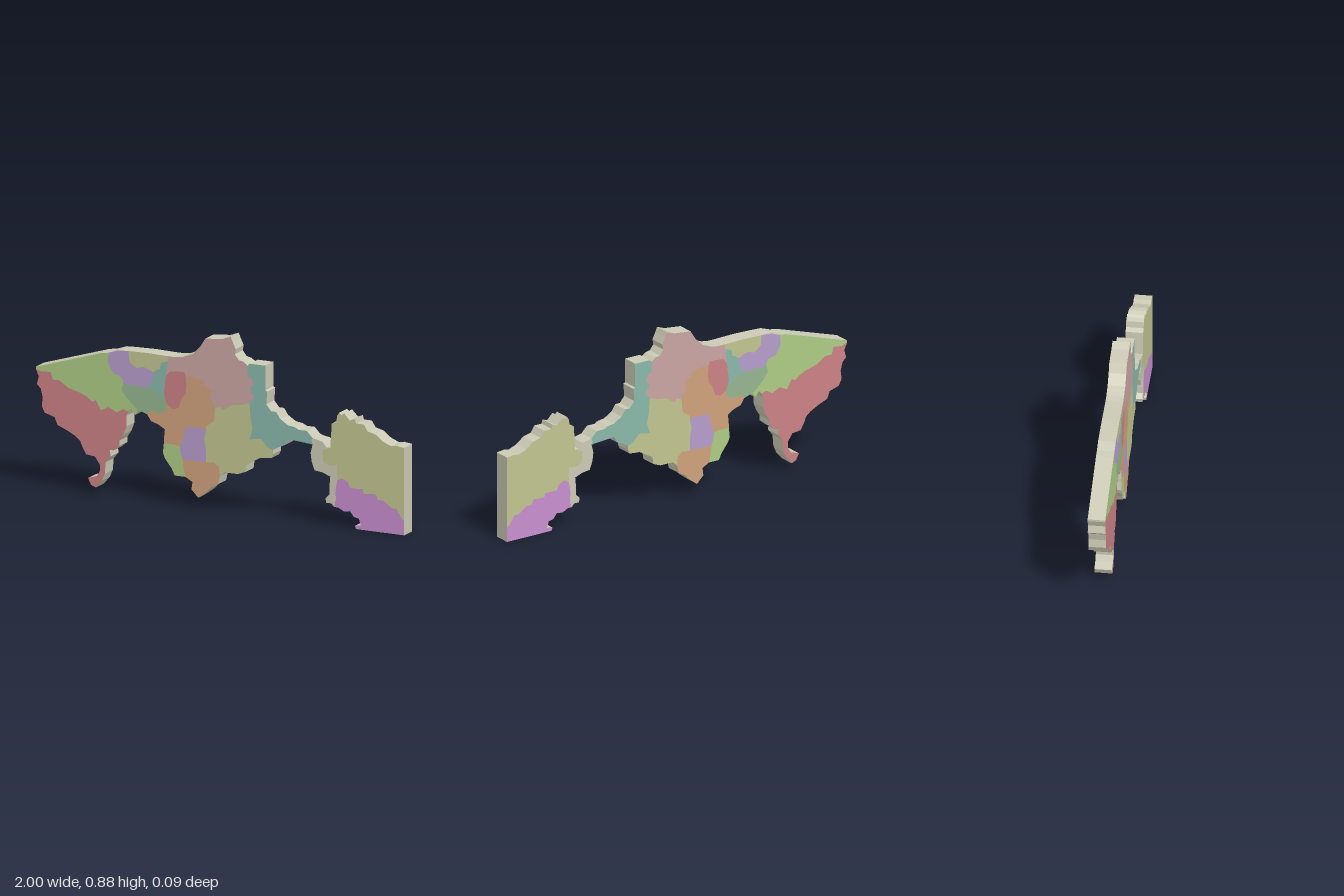
import * as THREE from 'three';

const UNIT = 187;      // drafting steps per model unit
const HALF = 0.043;    // half the slab thickness

const paint = (name, color) => {
  const m = new THREE.MeshStandardMaterial({ color });
  m.name = name;
  return m;
};
const red = paint('red', 0xca8184), lime = paint('lime', 0xadca84), lavender = paint('lavender', 0xb59dca),
  olive = paint('olive', 0xc1c48f), teal = paint('teal', 0x89b8a9), sage = paint('sage', 0x94b58f),
  orange = paint('orange', 0xcfa17b), pink = paint('pink', 0xcaa5a2), magenta = paint('magenta', 0xc78ecd),
  stone = paint('stone', 0xcbcab5);

// Coast arcs, clockwise around the whole land
const coast = {
  limeTop: [0,111, 0,113, 67,134, 74,135],
  lavenderTop: [74,135, 84,138.5, 94,139],
  oliveTop: [94,139, 114,139.5, 134,139],
  pinkTop: [134,139, 142,139, 149,140, 159,144, 167,152, 172,160, 181,161, 190,162, 198,165, 200,160, 203,154,
    202,149, 206,144, 211,143, 215,140],
  tealTop: [215,140, 217,142, 233,142, 233,119, 235,118, 234,106, 239,100, 244,100, 248,94, 256,89, 263,88,
    267,86, 275,86, 279,82, 281,80],
  stoneTop: [281,80, 285,79, 291,78, 295,73, 299,73],
  eastTop: [299,73, 300.5,96, 305,98, 306,104, 308,107, 310,105, 313,107, 319,101, 324,103, 325,99, 333,99,
    337,93, 345,91, 353,85, 361,82, 366,83, 374,82, 374,14],
  magentaBase: [374,14, 374,0, 325,0, 324,3, 330,4, 328,10, 323,11, 319,16, 313,15, 307,18, 303,18],
  stoneWest: [303,18, 300,21, 295,21, 294,25, 298,29, 298,36, 299,46, 291,49, 283,50, 280,58, 279,66, 281,74],
  tealBase: [281,74, 269,75, 256,76, 253,70, 246,67, 241,64],
  oliveBase: [241,64, 241,60, 239,56, 228,55, 221,51, 214,47, 213,40, 205,37, 192,37, 187,33],
  orangeBase: [187,33, 185,25, 179,22, 173,16, 165,10, 162,13, 158,17, 159,24, 152,28],
  limeBase: [152,28, 141,28, 138,34, 131,43, 129,48, 130,57],
  orangeWest: [130,57, 130,60, 131,70, 124,74, 117,76, 113,82],
  sageBase: [113,82, 107,84, 104,84],
  limeBay: [104,84, 101,80, 97,85, 94,82],
  redCoast: [94,82, 92,78, 92,68, 89,60, 85,54, 85,49, 79,44, 75,44, 76,38, 71,32, 70,21, 67,14, 61,7, 56,9,
    53,15, 62,18, 65,23, 65,29, 60,36, 51,37, 47,44, 45,49, 40,53, 32,57, 22,61, 19,68, 9,71, 6,77, 7,85,
    5,93, 1,97, 3,104, 0,111],
};

// Inner borders, each shared by two regions
const border = {
  redLime: [0,111, 6,109, 15,110, 17,103, 24,103, 33,97, 45,94, 52,91, 57,87, 61,89, 66,80, 74,84, 82,80, 89,84, 94,82],
  limeLavender: [74,135, 73,126, 76,120, 79,116, 87,114, 89,109],
  limeSage: [89,109, 87,102, 92,95, 99,89, 104,84],
  lavenderOlive: [94,139, 95,129, 102,124, 109,126, 113,125, 119,122],
  lavenderTeal: [119,122, 119,118, 116,110, 112,107],
  lavenderSage: [112,107, 101,108, 94,107, 89,109],
  oliveTeal: [119,122, 123,125, 126,126, 127,132, 134,134],
  olivePink: [134,139, 134,134],
  tealPink: [134,134, 133,126, 132,120],
  tealRed: [132,120, 131,111, 130,104, 131,99],
  tealSage: [131,99, 125,100, 119,106, 112,107],
  sageRed: [131,99, 133,94],
  sageOrange: [133,94, 132,88, 125,84, 117,86, 113,82],
  redPink: [132,120, 136,125, 145,126, 151,126, 152,123],
  redOrange: [152,123, 153,114, 152,106, 148,101, 145,92, 139,90, 133,94],
  pinkOrange: [152,123, 164,122, 171,120, 171,116, 179,112, 177,104, 182,99, 182,96],
  pinkOlive: [182,96, 187,98, 190,95, 199,101, 207,102, 217,105],
  pinkTeal: [215,140, 215,130, 219,128, 221,123, 217,118, 222,111, 217,105],
  tealOlive: [217,105, 218,91, 220,81, 217,71, 229,73, 235,66, 241,64],
  neck: [281,80, 280,77, 281,74],
  orangeOlive: [182,96, 181,84, 173,78, 173,75],
  innerOlive: [173,75, 171,66, 173,56, 173,44],
  innerSouth: [173,44, 149,44],
  innerLime: [149,44, 147,50, 146,56],
  innerOrange: [146,56, 149,62, 152,75, 162,76, 173,75],
  orangeLime: [146,56, 139,57, 130,57],
  limeSouth: [149,44, 150,36, 152,28],
  southOlive: [173,44, 181,45, 186,41, 187,33],
  stoneEast: [299,73, 291,70, 292,59, 299,56, 306,58, 306,43],
  stoneMagenta: [306,43, 304,32, 305,26, 303,18],
  eastMagenta: [306,43, 311,46, 317,43, 319,38, 332,38, 333,34, 345,35, 347,30, 353,30, 361,24, 366,24, 372,15, 374,14],
};

// Each region is a closed chain of arcs; a minus walks the arc backwards
const regions = [
  ['westRegion', red, 'redCoast redLime'],
  ['northWestRegion', lime, 'limeTop limeLavender limeSage limeBay -redLime'],
  ['northLavenderRegion', lavender, 'lavenderTop lavenderOlive lavenderTeal lavenderSage -limeLavender'],
  ['northOliveRegion', olive, 'oliveTop olivePink -oliveTeal -lavenderOlive'],
  ['smallTealRegion', teal, 'oliveTeal tealPink tealRed tealSage -lavenderTeal'],
  ['sageRegion', sage, '-lavenderSage -tealSage sageRed sageOrange sageBase -limeSage'],
  ['smallRedRegion', red, 'redPink redOrange -sageRed -tealRed'],
  ['northRegion', pink, 'pinkTop pinkTeal -pinkOlive -pinkOrange -redPink -tealPink -olivePink'],
  ['coastalTealRegion', teal, 'tealTop neck tealBase -tealOlive -pinkTeal'],
  ['centralOliveRegion', olive, 'pinkOlive tealOlive oliveBase -southOlive -innerOlive -orangeOlive'],
  ['centralOrangeRegion', orange, 'pinkOrange orangeOlive -innerOrange orangeLime orangeWest -sageOrange -redOrange'],
  ['innerLavenderRegion', lavender, 'innerOlive innerSouth innerLime innerOrange'],
  ['southOrangeRegion', orange, 'southOlive orangeBase -limeSouth -innerSouth'],
  ['southLimeRegion', lime, '-innerLime limeSouth limeBase -orangeLime'],
  ['stoneRegion', stone, 'stoneTop stoneEast stoneMagenta stoneWest -neck'],
  ['eastOliveRegion', olive, 'eastTop -eastMagenta -stoneEast'],
  ['southEastRegion', magenta, 'eastMagenta magentaBase -stoneMagenta'],
];

function arcPoints(name) {
  const flat = coast[name] || border[name], points = [];
  for (let i = 0; i < flat.length; i += 2) {
    points.push(new THREE.Vector2(flat[i] / UNIT - 1, flat[i + 1] / UNIT));
  }
  return points;
}

function chain(text) {
  return text.split(' ').flatMap((word) => {
    const points = word[0] === '-' ? arcPoints(word.slice(1)).reverse() : arcPoints(word);
    return points.slice(0, -1);   // the next arc starts on the last point
  });
}

// Coloured face on the front and its mirror on the back
function makeRegion(name, material, text) {
  const group = new THREE.Group();
  group.name = name;
  const front = new THREE.ShapeGeometry(new THREE.Shape(chain(text)));
  const back = front.clone();
  back.index.array.reverse();
  back.computeVertexNormals();
  front.translate(0, 0, HALF);
  back.translate(0, 0, -HALF);
  for (const [side, geometry] of [['Front', front], ['Back', back]]) {
    const mesh = new THREE.Mesh(geometry, material);
    mesh.name = name + side;
    group.add(mesh);
  }
  return group;
}

// Vertical cliff following the coast
function makeCoastWall() {
  const outline = chain(Object.keys(coast).join(' '));
  const positions = [];
  outline.forEach((a, i) => {
    const b = outline[(i + 1) % outline.length];
    positions.push(a.x, a.y, HALF, b.x, b.y, HALF, b.x, b.y, -HALF);
    positions.push(a.x, a.y, HALF, b.x, b.y, -HALF, a.x, a.y, -HALF);
  });
  const geometry = new THREE.BufferGeometry();
  geometry.setAttribute('position', new THREE.Float32BufferAttribute(positions, 3));
  geometry.computeVertexNormals();
  const mesh = new THREE.Mesh(geometry, stone);
  mesh.name = 'coastWall';
  return mesh;
}

export function createModel() {
  const model = new THREE.Group();
  model.name = 'regionMap';
  // The neck lies inside the land, so every coast arc joins the next in one loop
  model.add(makeCoastWall());
  for (const [name, material, text] of regions) model.add(makeRegion(name, material, text));
  return model;
}
